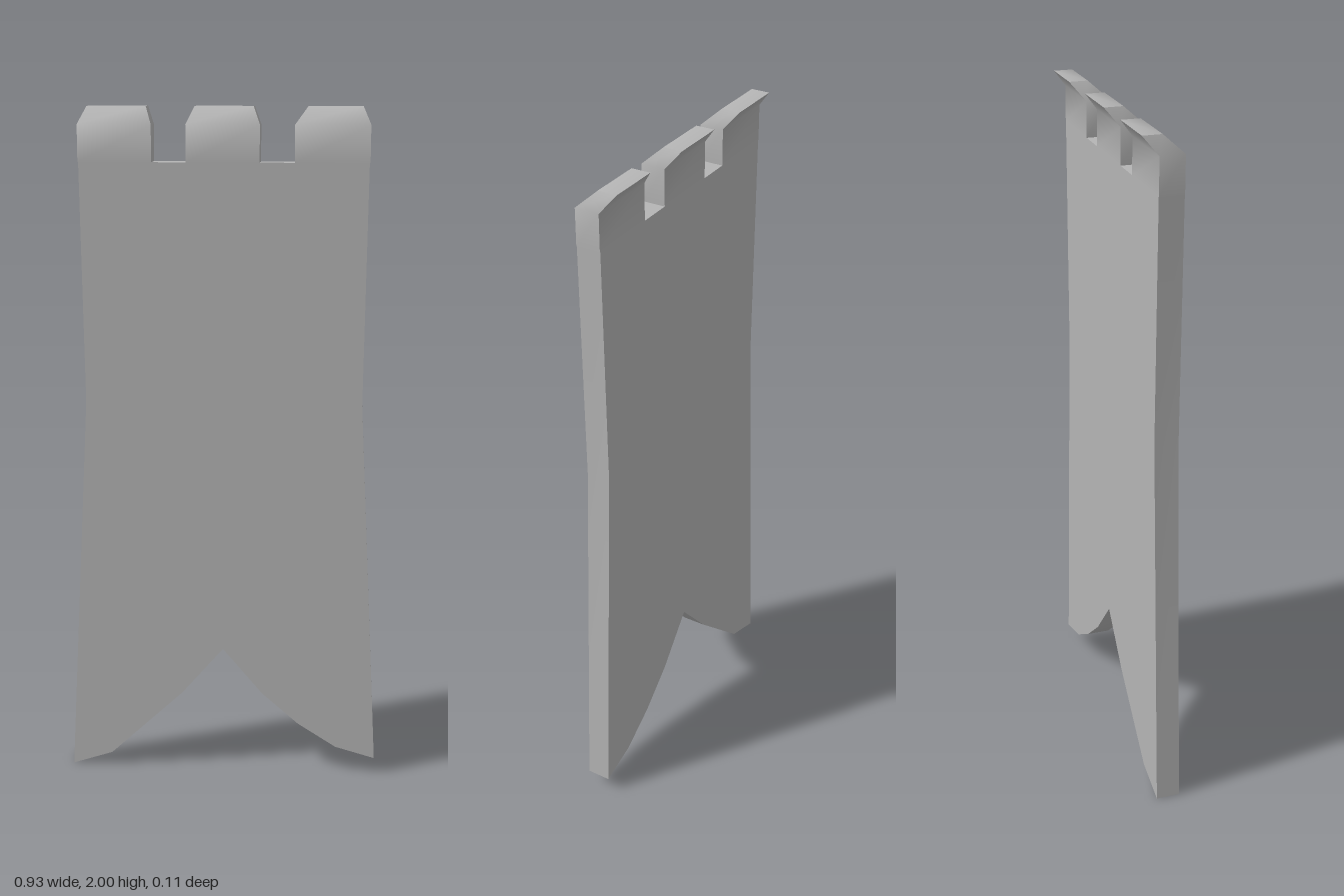
import * as THREE from 'three';
import { mergeGeometries, toCreasedNormals } from 'three/addons/utils/BufferGeometryUtils.js';

const FRONT = 0.055, BACK = -0.015;
const NOTCH_Y = 1.845, BEND_Y = 1.95, TOP_Y = 2;

// Tabs: [left, right] at the foot, [left, right] at the folded top
const TABS = [
  [-0.415, -0.204, -0.395, -0.225],
  [-0.106, 0.104, -0.085, 0.083],
  [0.203, 0.415, 0.238, 0.393],
];

// Flared cloth with a swallowtail hem, up to the notch line
function clothGeometry() {
  const outline = [
    [-0.466, 0], [-0.345, 0.04], [-0.125, 0.245], [0, 0.39],
    [0.12, 0.25], [0.23, 0.155], [0.345, 0.083], [0.464, 0.05],
    [0.406, 1.15], [0.413, NOTCH_Y], [-0.413, NOTCH_Y], [-0.404, 1.15],
  ];
  const shape = new THREE.Shape(outline.map(([x, y]) => new THREE.Vector2(x, y)));
  const geo = new THREE.ExtrudeGeometry(shape, { depth: FRONT - BACK, bevelEnabled: false });
  geo.translate(0, 0, BACK);
  geo.deleteAttribute('uv');
  return geo;
}

// Tab lofted through three sections, the last folded backwards
function tabGeometry([x0, x1, t0, t1]) {
  const section = (a, b, y, front, back) => [
    [a, y, front], [b, y, front], [b, y, back], [a, y, back],
  ];
  const loops = [
    section(x0, x1, NOTCH_Y, FRONT, BACK),
    section(x0, x1, BEND_Y, FRONT, BACK),
    section(t0, t1, TOP_Y, 0, -0.055),
  ];
  const pos = [];
  const quad = (a, b, c, d) => pos.push(...a, ...b, ...c, ...a, ...c, ...d);
  for (let s = 0; s < 2; s++) {
    for (let i = 0; i < 4; i++) {
      const j = (i + 1) % 4;
      quad(loops[s][i], loops[s][j], loops[s + 1][j], loops[s + 1][i]);
    }
  }
  quad(...loops[2]);
  const geo = new THREE.BufferGeometry();
  geo.setAttribute('position', new THREE.Float32BufferAttribute(pos, 3));
  geo.computeVertexNormals();
  return geo;
}

export function createModel() {
  const group = new THREE.Group();
  group.name = 'hangingBanner';
  const cloth = new THREE.MeshStandardMaterial({ color: 0xb4b4b4 });
  cloth.name = 'greyCloth';

  const body = new THREE.Mesh(toCreasedNormals(clothGeometry(), 0.6), cloth);
  body.name = 'bannerCloth';
  group.add(body);

  const tabs = new THREE.Mesh(toCreasedNormals(mergeGeometries(TABS.map(tabGeometry)), 0.9), cloth);
  tabs.name = 'hangingTabs';
  group.add(tabs);
  return group;
}
